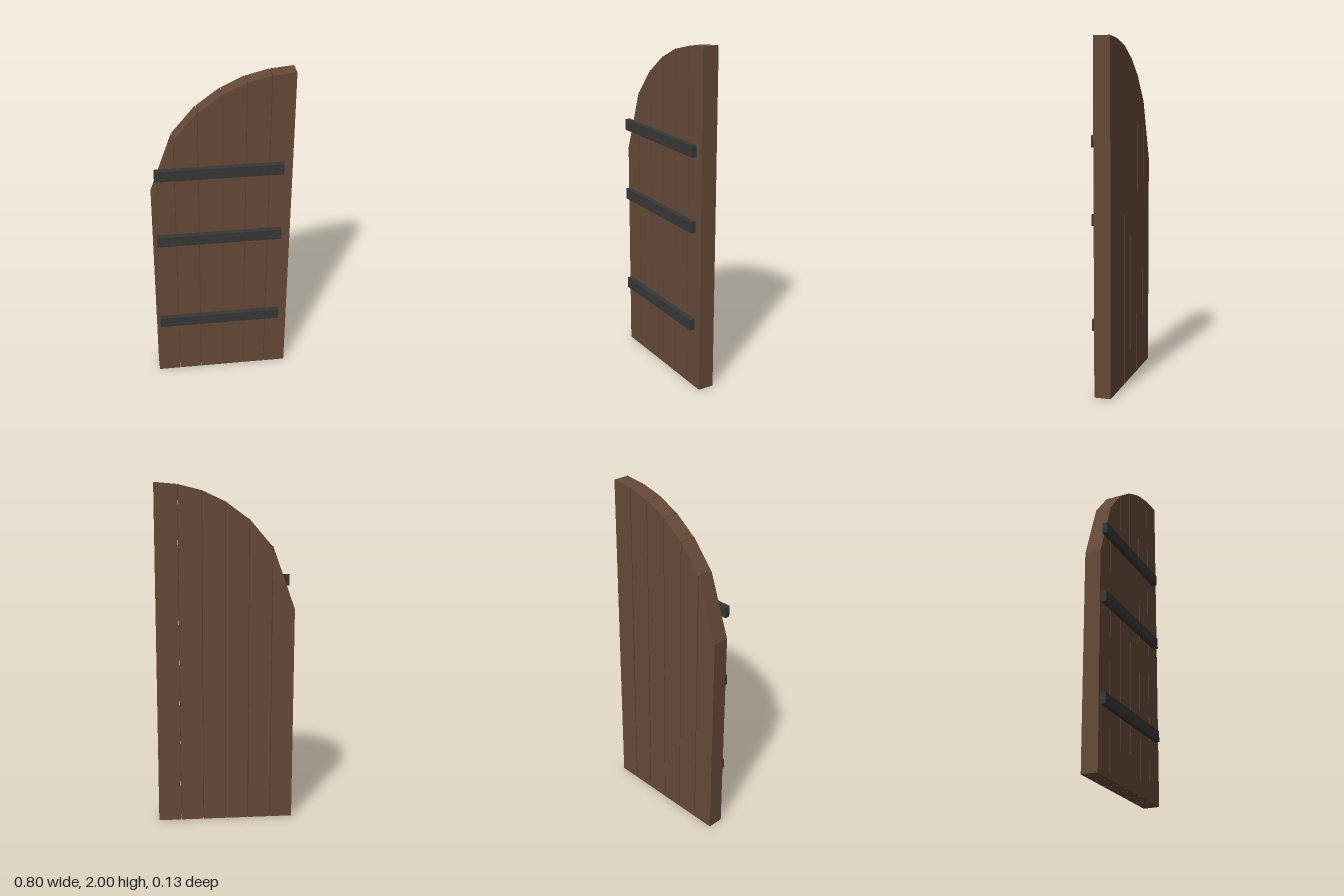
import * as THREE from 'three';

export function createModel() {
  const door = new THREE.Group();
  door.name = 'archedDoorLeaf';

  const wood = new THREE.MeshStandardMaterial({ color: 0x664a38 });
  wood.name = 'brown wood';
  const iron = new THREE.MeshStandardMaterial({ color: 0x373737 });
  iron.name = 'dark iron';

  // Planks: upright boards with thin gaps, cut along a half arch
  const back = -0.063, front = 0.033;
  const width = 0.13, pitch = 0.134;
  const archHeights = [1.28, 1.643, 1.796, 1.893, 1.955, 1.988, 2];
  for (let i = 0; i < 6; i++) {
    const x0 = -0.4 + i * pitch;
    const x1 = x0 + width;
    const outline = new THREE.Shape([
      new THREE.Vector2(x0, 0),
      new THREE.Vector2(x1, 0),
      new THREE.Vector2(x1, archHeights[i + 1]),
      new THREE.Vector2(x0, archHeights[i]),
    ]);
    const geometry = new THREE.ExtrudeGeometry(outline, { depth: front - back, bevelEnabled: false });
    geometry.translate(0, 0, back);
    const plank = new THREE.Mesh(geometry, wood);
    plank.name = `plank${i + 1}`;
    door.add(plank);
  }

  // Iron straps across the front
  const strapGeometry = new THREE.BoxGeometry(0.728, 0.065, 0.03);
  [['lowerStrap', 0.402], ['middleStrap', 0.997], ['upperStrap', 1.433]].forEach(([name, y]) => {
    const strap = new THREE.Mesh(strapGeometry, iron);
    strap.name = name;
    strap.position.set(-0.018, y, front + 0.015);
    door.add(strap);
  });

  return door;
}
